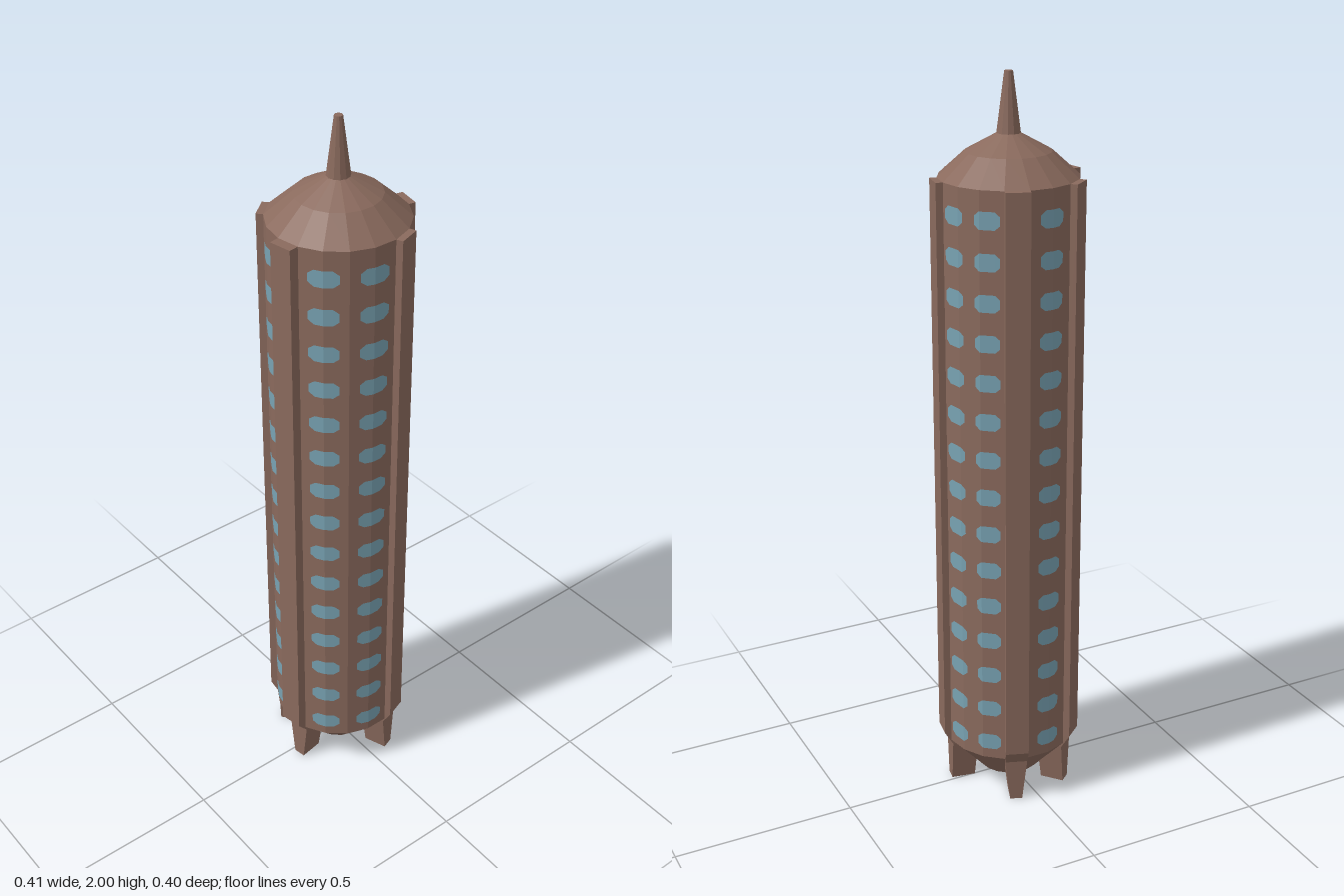
import * as THREE from 'three';

const SIDES = 18, RADIUS = 0.183, STEP = (Math.PI * 2) / SIDES;
const rad = (deg) => (deg * Math.PI) / 180;

// Point on the faceted hull wall, pushed out slightly; angle runs from +x towards +z
function wallPoint(angle, y, offset) {
  const mid = (Math.floor(angle / STEP) + 0.5) * STEP;
  const r = (RADIUS * Math.cos(STEP / 2)) / Math.cos(angle - mid) + offset;
  return [r * Math.cos(angle), y, r * Math.sin(angle)];
}

// Clipped-corner window wrapped round the hull facets
function windowGeometry(centreDeg, widthDeg, y, halfHeight) {
  const c = rad(centreDeg), half = rad(widthDeg / 2);
  const samples = [-1, -0.6, 0.6, 1];
  for (let k = -1; k <= SIDES; k++) {
    const t = (k * STEP - c) / half;
    if (Math.abs(t) < 0.98) samples.push(t);
  }
  samples.sort((a, b) => a - b);
  const pos = [], index = [];
  samples.forEach((t, i) => {
    const h = halfHeight * (Math.abs(t) <= 0.6 ? 1 : 1 - ((Math.abs(t) - 0.6) / 0.4) * 0.5);
    pos.push(...wallPoint(c + t * half, y - h, 0.002), ...wallPoint(c + t * half, y + h, 0.002));
    if (i) {
      const a = 2 * i - 2;
      index.push(a, a + 1, a + 2, a + 1, a + 3, a + 2);
    }
  });
  const g = new THREE.BufferGeometry();
  g.setAttribute('position', new THREE.Float32BufferAttribute(pos, 3));
  g.setIndex(index);
  g.computeVertexNormals();
  return g;
}

// Solid from stacked rectangles [y, inner radius, outer radius, half width]
function finGeometry(levels) {
  const pos = [], index = [];
  levels.forEach(([y, r0, r1, w], i) => {
    pos.push(r0, y, w, r1, y, w, r1, y, -w, r0, y, -w);
    if (!i) return;
    for (let k = 0; k < 4; k++) {
      const a = (i - 1) * 4 + k, b = (i - 1) * 4 + ((k + 1) % 4);
      index.push(a, b, b + 4, a, b + 4, a + 4);
    }
  });
  const t = (levels.length - 1) * 4;
  index.push(0, 2, 1, 0, 3, 2, t, t + 1, t + 2, t, t + 2, t + 3);
  const g = new THREE.BufferGeometry();
  g.setAttribute('position', new THREE.Float32BufferAttribute(pos, 3));
  g.setIndex(index);
  g.computeVertexNormals();
  return g;
}

export function createModel() {
  const model = new THREE.Group();
  model.name = 'tower';
  const brown = new THREE.MeshStandardMaterial({ color: 0x8a6a5d, flatShading: true });
  brown.name = 'brown hull';
  const blue = new THREE.MeshStandardMaterial({ color: 0x78a2b2, flatShading: true, side: THREE.DoubleSide });
  blue.name = 'blue glass';

  const tower = new THREE.Group();
  tower.position.set(0.004, 0, -0.004);
  model.add(tower);
  const add = (name, geometry, material, parent = tower) => {
    const mesh = new THREE.Mesh(geometry, material);
    mesh.name = name;
    parent.add(mesh);
    return mesh;
  };

  // Hull with tapered foot and shallow domed roof
  const profile = [[0, 0.027], [0.085, 0.027], [RADIUS, 0.135], [RADIUS, 1.738], [0.112, 1.802], [0.028, 1.848], [0, 1.848]];
  add('hull', new THREE.LatheGeometry(profile.map(([x, y]) => new THREE.Vector2(x, y)), SIDES, Math.PI / 2), brown);

  // Spire
  const spire = add('spire', new THREE.CylinderGeometry(0.011, 0.031, 0.154, 12), brown);
  spire.position.y = 1.923;

  // Vertical ribs, each running down into a landing leg
  for (const deg of [10, 70, 170, 230, 290]) {
    const outer = deg === 170 ? 0.208 : 0.199;
    const rib = add('ribAndLeg', finGeometry([
      [0, 0.108, 0.175, 0.017],
      [0.12, 0.1, 0.175, 0.031],
      [0.16, 0.15, outer, 0.0318],
      [1.738, 0.17, outer, 0.0318],
    ]), brown);
    rib.rotation.y = -rad(deg);
  }

  // Window columns between the ribs: [angle, angular width]
  const columns = [[42, 22], [99, 25], [140, 25], [200, 22], [260, 22], [314, 21], [346, 21]];
  for (const [deg, width] of columns) {
    const column = new THREE.Group();
    column.name = 'windowColumn';
    tower.add(column);
    for (let i = 0; i < 15; i++) {
      add('window', windowGeometry(deg, width, 0.187 + i * 0.1054, 0.023), blue, column);
    }
  }
  return model;
}
